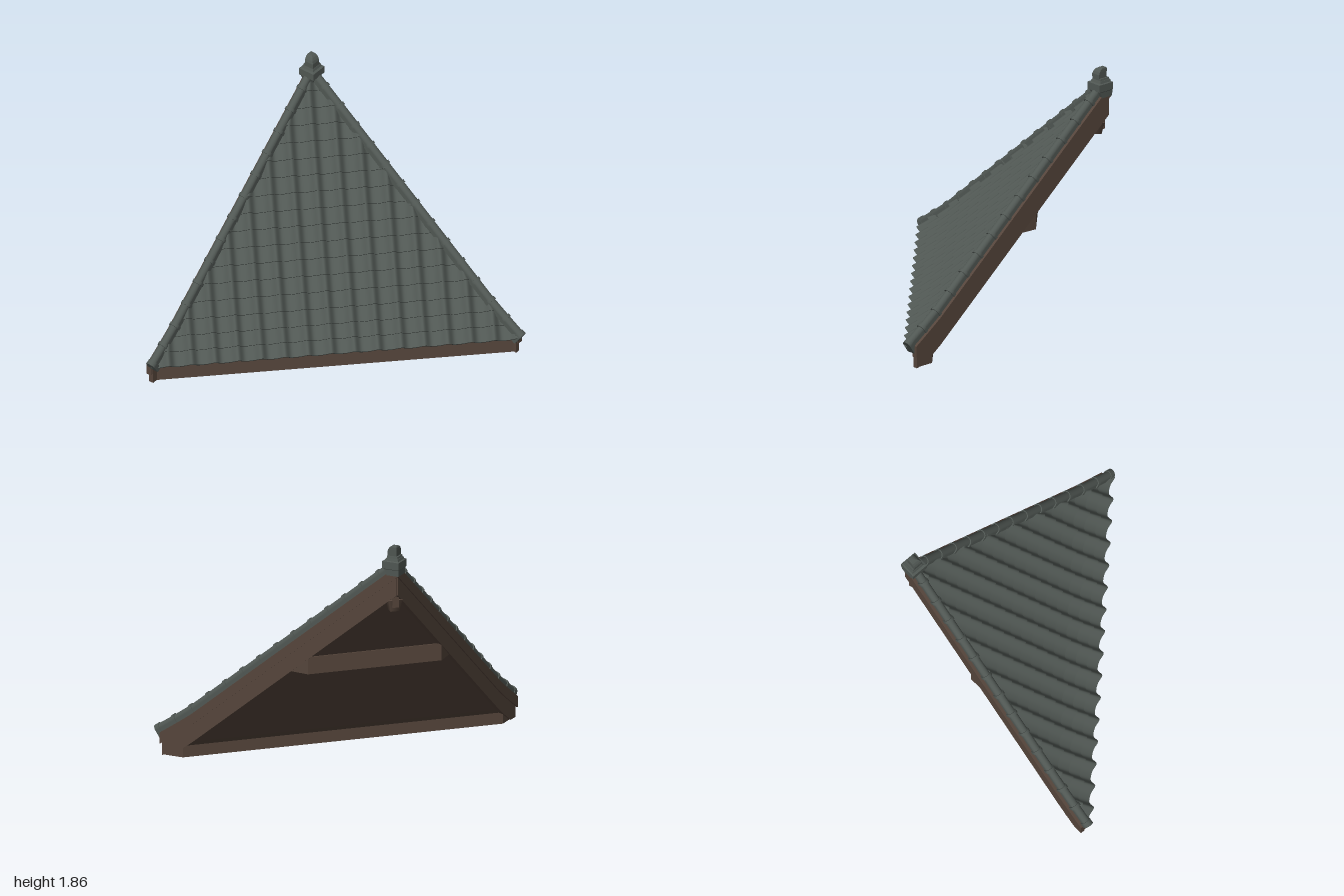
import * as THREE from 'three';

const TILE = new THREE.MeshStandardMaterial({ color: 0x505753, side: THREE.DoubleSide });
TILE.name = 'slate tile';
const WOOD = new THREE.MeshStandardMaterial({ color: 0x55453b, side: THREE.DoubleSide });
WOOD.name = 'dark wood';

const R2 = Math.SQRT2, HIP = -0.94;

// Height of the hip line at distance s along x (or z): straight, with a slight flare at the eave
const PROFILE = [[-1, 1.768], [0.69, 0.375], [0.82, 0.283], [0.98, 0.175], [1.1, 0.1]];
function hipY(s) {
  let i = 0;
  while (i < PROFILE.length - 2 && s > PROFILE[i + 1][0]) i++;
  const [a, ya] = PROFILE[i], [b, yb] = PROFILE[i + 1];
  return ya + (yb - ya) * (s - a) / (b - a);
}
// d runs down the slope, u runs along the eave
const roofY = d => hipY(R2 * d - HIP) - 0.022;
const halfWidth = d => Math.max(0, d - HIP * R2);
const place = (u, y, d) => [(d + u) / R2, y, (d - u) / R2];

function mesh(parent, name, geometry, material) {
  const m = new THREE.Mesh(geometry, material);
  m.name = name;
  parent.add(m);
  return m;
}

// Surface through pairs of lines; each pair has its own vertices so steps stay crisp
function sheet(pairs) {
  const pos = [], idx = [];
  for (const [a, b] of pairs) {
    const base = pos.length / 3, n = a.length;
    for (const p of [...a, ...b]) pos.push(...p);
    for (let i = 0; i < n - 1; i++) {
      const p = base + i, q = p + n;
      idx.push(p, q, p + 1, p + 1, q, q + 1);
    }
  }
  const g = new THREE.BufferGeometry();
  g.setAttribute('position', new THREE.Float32BufferAttribute(pos, 3));
  g.setIndex(idx);
  g.computeVertexNormals();
  return g;
}

// Curved pantiles in overlapping rows
function tiles() {
  const ROWS = 17, TOP = -1.32, EAVE = 0.026, PITCH = 0.17, SEG = 14, pairs = [];
  const wave = u => {
    const f = 2 * Math.PI * (u + 0.035) / PITCH;
    return 0.027 * Math.cos(f + 0.5 * Math.sin(f) + 0.2 * (1 - Math.cos(f)));
  };
  const line = (d, lift, w) => {
    const n = Math.ceil(w / PITCH * SEG), pts = [];
    for (let k = -n; k <= n; k++) {
      const lim = halfWidth(d), u = THREE.MathUtils.clamp(k * PITCH / SEG, -lim, lim);
      const o = (wave(u) + lift) * 0.71;
      pts.push(place(u, roofY(d) + o, d + o));
    }
    return pts;
  };
  for (let r = 0; r < ROWS; r++) {
    const d0 = TOP + (EAVE - TOP) * r / ROWS, d1 = TOP + (EAVE - TOP) * (r + 1) / ROWS;
    const w = halfWidth(d1);
    pairs.push([line(d0, -0.004, w), line(d1, 0.017, w)], [line(d1, 0.017, w), line(d1, -0.012, w)]);
  }
  return sheet(pairs);
}

// Arched cap section, extruded along +z
function arch(r, drop, length) {
  const s = new THREE.Shape();
  s.moveTo(-r, -drop);
  s.lineTo(r, -drop);
  s.lineTo(r, 0);
  s.absarc(0, 0, r, 0, Math.PI, false);
  return new THREE.ExtrudeGeometry(s, { depth: length, bevelEnabled: false, curveSegments: 10 });
}

// Row of cap tiles down one hip; swap exchanges x and z
function hipCaps(swap) {
  const g = new THREE.Group();
  g.name = swap ? 'rightHipCaps' : 'leftHipCaps';
  const at = s => swap ? new THREE.Vector3(HIP, hipY(s), s) : new THREE.Vector3(s, hipY(s), HIP);
  const stops = [-0.93];
  for (let i = 0; i < 14; i++) stops.push(-0.83 + i * 0.1375);
  const add = (name, r, drop, from, to, length) => {
    const m = mesh(g, name, arch(r, drop, length), TILE);
    m.position.copy(from);
    m.lookAt(to);
  };
  for (let i = 0; i < stops.length - 1; i++) {
    const a = at(stops[i]), b = at(stops[i + 1]);
    add('hipCap', 0.03, 0.035, a, b, a.distanceTo(b) + 0.006);
    if (i) add('hipCollar', 0.038, 0.03, a, b, 0.024);
  }
  add('hipEndTile', 0.036, 0.075, at(0.945), at(0.985), 0.04);
  return g;
}

// Board following one gable edge
function bargeBoard(name, from, to, top, bottom, outer, inner, swap) {
  const up = [], down = [], N = 24;
  for (let i = 0; i <= N; i++) {
    const s = from + (to - from) * i / N;
    up.push(new THREE.Vector2(s, hipY(s) - top));
    down.unshift(new THREE.Vector2(s, Math.max(0, hipY(s) - bottom)));
  }
  const geo = new THREE.ExtrudeGeometry(new THREE.Shape([...up, ...down]),
    { depth: outer - inner, bevelEnabled: false });
  geo.translate(0, 0, swap ? inner : -outer);
  if (swap) geo.rotateY(-Math.PI / 2);
  return [name, geo];
}

// Prism along the eave with mitred ends, from plan half-widths at two depths
function mitredBeam(uOuter, dOuter, uInner, dInner, height) {
  const plan = [[-uOuter, -dOuter], [uOuter, -dOuter], [uInner, -dInner], [-uInner, -dInner]];
  const shape = new THREE.Shape(plan.map(p => new THREE.Vector2(...p)));
  const geo = new THREE.ExtrudeGeometry(shape, { depth: height, bevelEnabled: false });
  geo.rotateX(-Math.PI / 2);
  geo.rotateY(Math.PI / 4);
  return geo;
}

// Square-section loft from rows of [y, min, max], equal in x and z
function squareLoft(rows) {
  const ring = ([y, a, b]) => [[a, y, a], [a, y, b], [b, y, b], [b, y, a]];
  const pos = [], quad = (a, b, c, d) => pos.push(...a, ...b, ...c, ...a, ...c, ...d);
  for (let i = 0; i < rows.length - 1; i++) {
    const p = ring(rows[i]), q = ring(rows[i + 1]);
    for (let k = 0; k < 4; k++) quad(p[k], p[(k + 1) % 4], q[(k + 1) % 4], q[k]);
  }
  quad(...ring(rows[rows.length - 1]));
  quad(...ring(rows[0]).reverse());
  const g = new THREE.BufferGeometry();
  g.setAttribute('position', new THREE.Float32BufferAttribute(pos, 3));
  g.computeVertexNormals();
  return g;
}

export function createModel() {
  const root = new THREE.Group();
  root.name = 'roofCorner';

  mesh(root, 'roofTiles', tiles(), TILE);

  // Both gable edges
  for (const swap of [false, true]) {
    const end = swap ? 0.94 : 0.92;
    root.add(hipCaps(swap));
    mesh(root, ...bargeBoard('bargeRail', -0.985, end + 0.015, 0.035, 0.12, 0.993, 0.95, swap), WOOD);
    mesh(root, ...bargeBoard('bargeBoard', -0.975, end, 0.06, 0.255, 0.982, 0.945, swap), WOOD);
  }

  // Soffit under the tiles
  const soffit = [];
  const soffitLine = d => [-1, 1].map(k => place(k * (halfWidth(d) + 0.02), roofY(d) - 0.24, d));
  for (let i = 0; i < 14; i++) {
    soffit.push([soffitLine(-1.33 + i * 1.23 / 14), soffitLine(-1.33 + (i + 1) * 1.23 / 14)]);
  }
  mesh(root, 'soffit', sheet(soffit), WOOD);

  // Beams running along the eave
  mesh(root, 'fascia', mitredBeam(1.336, -0.035, 1.221, -0.15, 0.14), WOOD);
  const purlin = mesh(root, 'purlin', mitredBeam(0.6, -0.77, 0.51, -0.875, 0.13), WOOD);
  purlin.position.y = 0.785;

  // Post and pendant below the peak
  const post = mesh(root, 'peakPost', new THREE.BoxGeometry(0.05, 0.24, 0.05), WOOD);
  post.position.set(-0.94, 1.51, -0.94);
  post.rotation.y = Math.PI / 4;
  const knob = mesh(root, 'pendant', new THREE.CylinderGeometry(0.075, 0.045, 0.09, 4), WOOD);
  knob.position.set(-0.92, 1.4, -0.92);

  // Finial on the peak
  mesh(root, 'finialBase', squareLoft([[1.64, -0.995, -0.9], [1.685, -0.997, -0.88], [1.69, -1, -0.868],
    [1.745, -1, -0.868], [1.75, -0.99, -0.885], [1.768, -0.985, -0.892]]), TILE);
  mesh(root, 'finialNeck', squareLoft([[1.76, -0.982, -0.894], [1.782, -0.978, -0.896]]), TILE);
  mesh(root, 'finialBud', squareLoft([[1.77, -0.965, -0.894], [1.81, -0.967, -0.893], [1.83, -0.968, -0.9],
    [1.848, -0.968, -0.912], [1.857, -0.966, -0.926], [1.86, -0.96, -0.94]]), TILE);
  return root;
}
